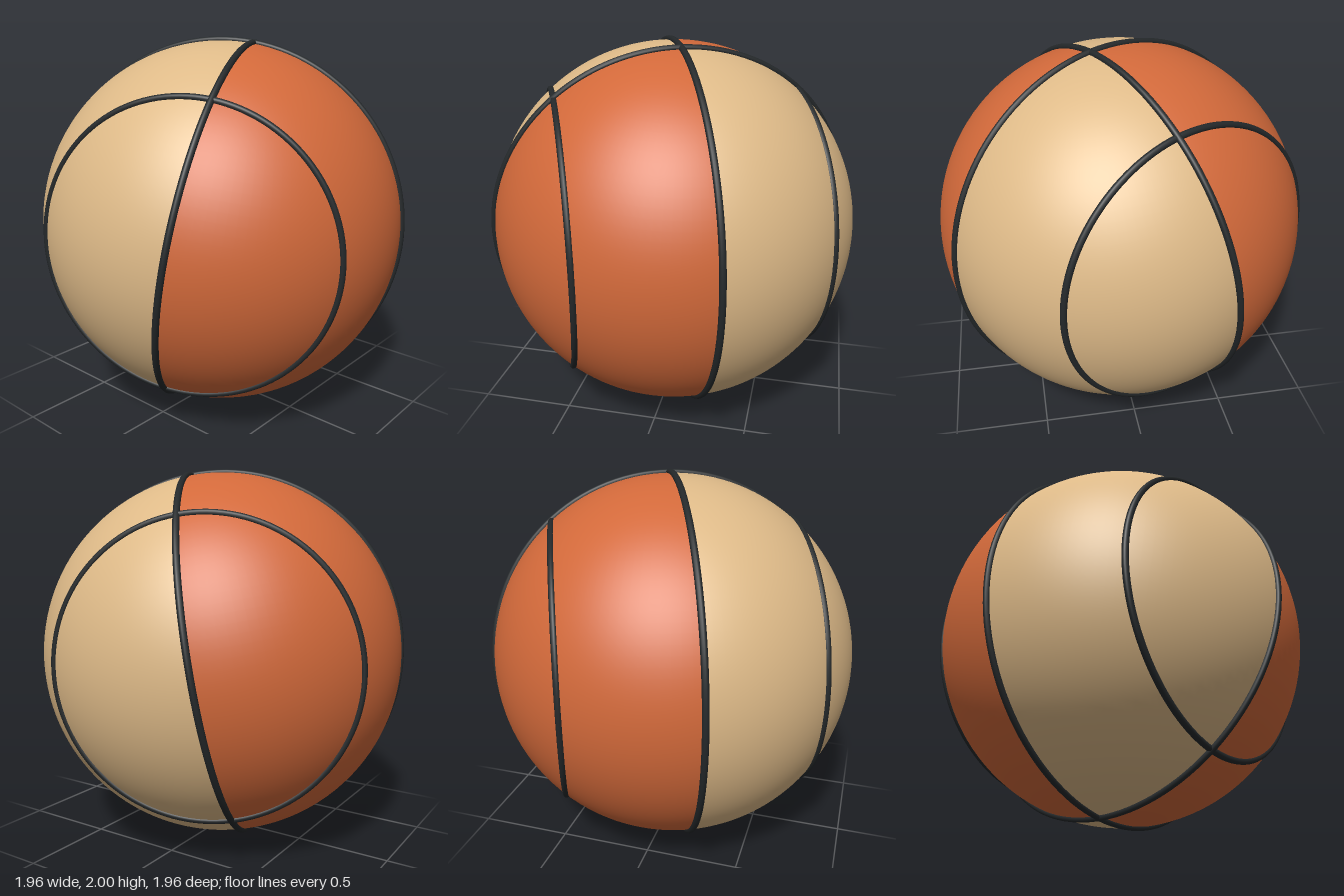
import * as THREE from 'three';

const BALL = 0.98;   // ball radius
const SEAM = 0.017;  // seam tube radius

export function createModel() {
  const material = (name, color) => {
    const m = new THREE.MeshStandardMaterial({ color });
    m.name = name;
    return m;
  };
  const orange = material('orange', 0xd2693a);
  const tan = material('tan', 0xdeba88);
  const black = material('black', 0x24282a);

  const ball = new THREE.Group();
  ball.name = 'ball';

  // Four quarter panels in alternating colours
  for (let i = 0; i < 4; i++) {
    const quarter = new THREE.SphereGeometry(BALL, 32, 64, i * Math.PI / 2, Math.PI / 2);
    const panel = new THREE.Mesh(quarter, i % 2 ? tan : orange);
    panel.name = `panel${i + 1}`;
    ball.add(panel);
  }

  // Round seams half sunk into the surface
  const addSeam = (name, radius, offset, turn) => {
    const seam = new THREE.Mesh(new THREE.TorusGeometry(radius, SEAM, 12, 128), black);
    seam.name = name;
    seam.rotation.y = turn;
    seam.position.x = offset;
    ball.add(seam);
  };
  addSeam('crossSeam', 1 - SEAM, 0, 0);
  addSeam('middleSeam', 1 - SEAM, 0, Math.PI / 2);
  for (const side of [-1, 1]) {
    addSeam(side > 0 ? 'leftSeam' : 'rightSeam', 0.745, side * 0.634, Math.PI / 2);
  }

  // Ball tipped forward, then turned about the vertical
  ball.rotation.set(THREE.MathUtils.degToRad(10), THREE.MathUtils.degToRad(25), 0, 'YXZ');
  ball.position.y = 1;

  const model = new THREE.Group();
  model.name = 'basketball';
  model.add(ball);
  return model;
}
